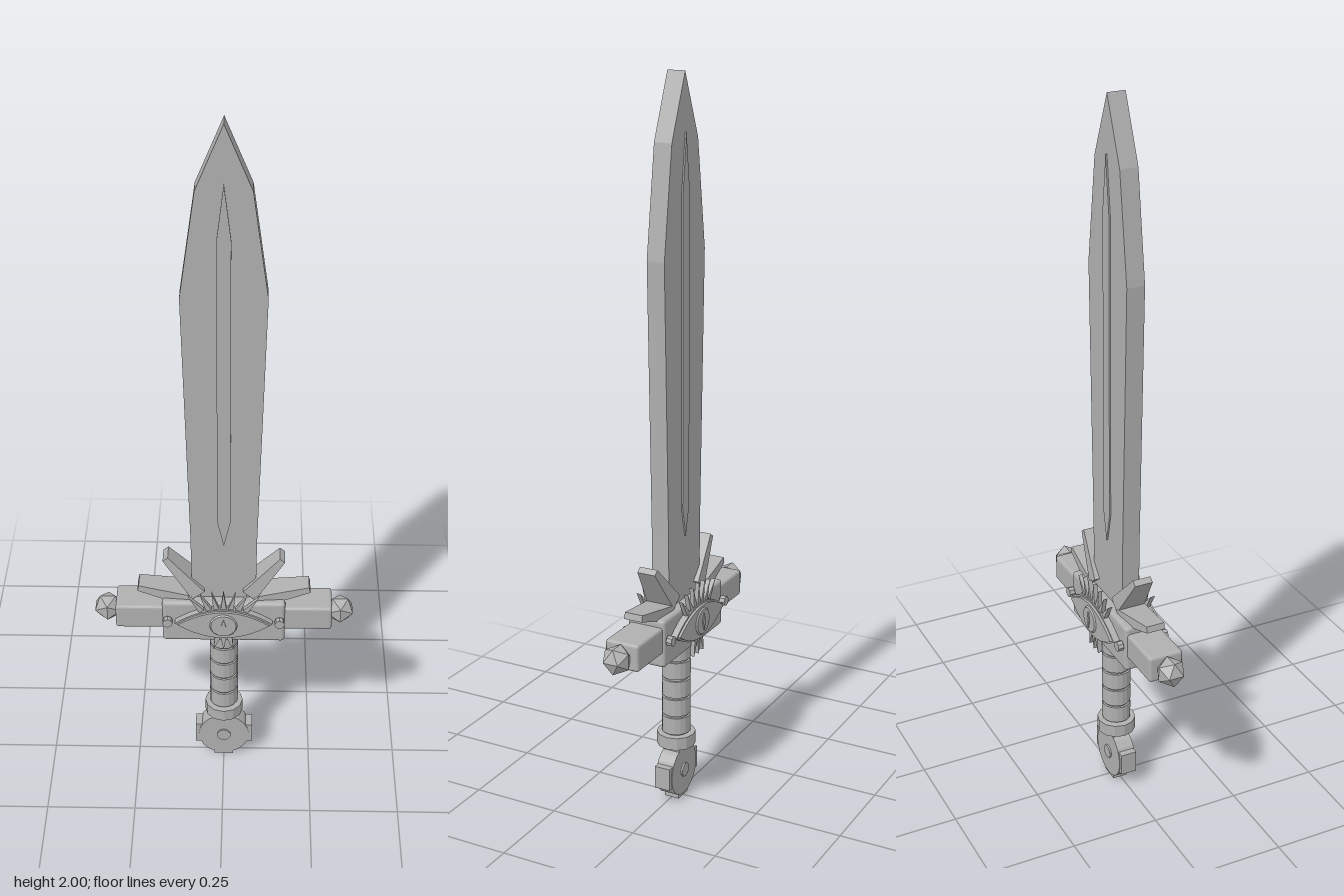
import * as THREE from 'three';
import { RoundedBoxGeometry } from 'three/addons/geometries/RoundedBoxGeometry.js';

const steel = new THREE.MeshStandardMaterial({ color: 0xb0b0b0, flatShading: true });
steel.name = 'steel grey';

export function createModel() {
  const group = new THREE.Group();

  const add = (name, geometry, x = 0, y = 0, z = 0) => {
    const mesh = new THREE.Mesh(geometry, steel);
    mesh.name = name;
    mesh.position.set(x, y, z);
    group.add(mesh);
    return mesh;
  };
  // Flat outline extruded along z and centred on its own depth
  const plate = (points, depth) => {
    const shape = new THREE.Shape(points.map(([x, y]) => new THREE.Vector2(x, y)));
    return new THREE.ExtrudeGeometry(shape, { depth, bevelEnabled: false }).translate(0, 0, -depth / 2);
  };
  const mirrored = (half) => [...half, ...half.filter(([x]) => x > 0).reverse().map(([x, y]) => [-x, y])];

  // Blade and its raised central ridge
  add('blade', plate(mirrored([[0.088, 0.59], [0.09, 0.8], [0.11, 1.54], [0.07, 1.83], [0, 2]]), 0.05));
  add('bladeRidge', plate(mirrored([[0, 0.78], [0.018, 0.86], [0.018, 1.7], [0, 1.85]]), 0.058));

  // Cross guard
  add('guardCentre', new RoundedBoxGeometry(0.34, 0.135, 0.11, 2, 0.01), 0, 0.532, 0);
  add('guardArms', new RoundedBoxGeometry(0.6, 0.075, 0.098, 2, 0.008), 0, 0.542, 0);

  // Spike with a wide root and a narrow blunt tip, leaning along its direction
  const spike = (name, root, tip, rootWidth, tipWidth) => {
    const a = new THREE.Vector2(...root), b = new THREE.Vector2(...tip);
    const n = b.clone().sub(a).normalize();
    const side = new THREE.Vector2(-n.y, n.x);
    const at = (p, w) => [p.x + side.x * w, p.y + side.y * w];
    const geometry = plate([at(a, -rootWidth), at(b, -tipWidth), at(b, tipWidth), at(a, rootWidth)], 0.08);
    const pos = geometry.attributes.position, length = a.distanceTo(b);
    for (let i = 0; i < pos.count; i++) {
      const t = ((pos.getX(i) - a.x) * n.x + (pos.getY(i) - a.y) * n.y) / length;
      pos.setZ(i, pos.getZ(i) * (1 - 0.35 * t));
    }
    geometry.computeVertexNormals();
    add(name, geometry);
  };
  for (const s of [1, -1]) {
    add('guardGem', new THREE.IcosahedronGeometry(0.041, 0), s * 0.324, 0.542, 0);
    spike('upperSpike', [s * 0.07, 0.615], [s * 0.16, 0.728], 0.022, 0.009);
    spike('lowerSpike', [s * 0.09, 0.592], [s * 0.237, 0.627], 0.02, 0.009);
  }

  // Eye ornament on both faces of the guard
  const lens = (w, h) => {
    const shape = new THREE.Shape();
    shape.moveTo(-w, 0);
    shape.quadraticCurveTo(0, h * 2, w, 0);
    shape.quadraticCurveTo(0, -h * 2, -w, 0);
    return new THREE.ExtrudeGeometry(shape, { depth: 0.018, bevelEnabled: false, curveSegments: 12 })
      .translate(0, 0, -0.009);
  };
  for (const f of [1, -1]) {
    add('eyeRim', lens(0.135, 0.05), 0, 0.542, f * 0.064);
    add('eyeBall', lens(0.127, 0.045), 0, 0.542, f * 0.071);
    add('pupil', new THREE.CylinderGeometry(0.035, 0.042, 0.008, 16).rotateX(f * Math.PI / 2),
      0, 0.542, f * 0.08);
    add('pupilSlit', plate([[0, -0.025], [0.007, 0], [0, 0.025], [-0.007, 0]], 0.006), 0, 0.542, f * 0.084);
    for (const s of [1, -1]) {
      add('eyeStud', new THREE.CylinderGeometry(0.014, 0.014, 0.016, 8).rotateX(Math.PI / 2),
        s * 0.155, 0.542, f * 0.067);
    }
    // Lashes fan out above and below the eye
    for (let i = -3; i <= 3; i++) {
      const upper = add('upperLash', plate([[-0.008, 0], [0.008, 0], [0, 0.058]], 0.012),
        i * 0.02, 0.592 - Math.abs(i) * 0.003, f * 0.064);
      upper.rotation.z = -i * 0.22;
    }
    for (let i = -1; i <= 1; i++) {
      const lower = add('lowerLash', plate([[-0.008, 0], [0, -0.048], [0.008, 0]], 0.012),
        i * 0.016, 0.492, f * 0.064);
      lower.rotation.z = i * 0.25;
    }
  }

  // Grip core with wrapped bands
  add('gripCore', new THREE.CylinderGeometry(0.034, 0.034, 0.32, 16), 0, 0.32, 0);
  for (let i = 0; i < 5; i++) {
    add('gripBand', new THREE.CylinderGeometry(0.04, 0.04, 0.049, 16), 0, 0.225 + i * 0.0555, 0);
  }
  add('gripCollar', new THREE.CylinderGeometry(0.054, 0.054, 0.036, 12), 0, 0.178, 0);
  add('pommelNeck', new THREE.BoxGeometry(0.06, 0.04, 0.05), 0, 0.148, 0);

  // Pommel: round disc with blunt lobes and a central boss
  add('pommelDisc', new THREE.CylinderGeometry(0.073, 0.073, 0.05, 20).rotateX(Math.PI / 2), 0, 0.08, 0);
  add('pommelSideLobes', new THREE.BoxGeometry(0.164, 0.065, 0.046), 0, 0.083, 0);
  add('pommelFoot', new THREE.BoxGeometry(0.055, 0.08, 0.044), 0, 0.04, 0);
  add('pommelBoss', new THREE.CylinderGeometry(0.02, 0.02, 0.06, 10).rotateX(Math.PI / 2), 0, 0.08, 0);

  return group;
}
